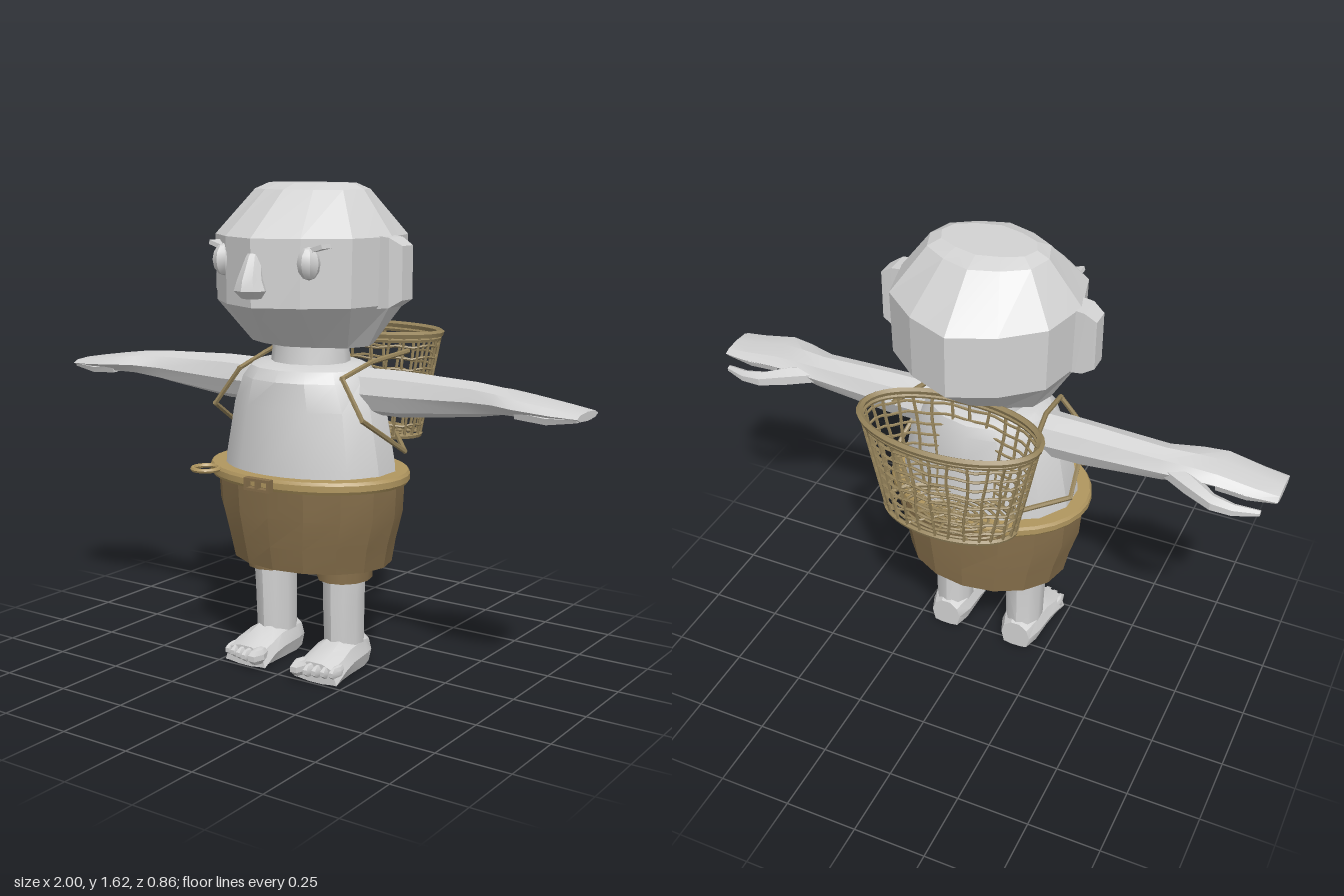
import * as THREE from 'three';
import { mergeGeometries, toCreasedNormals } from 'three/addons/utils/BufferGeometryUtils.js';

const V = (x, y, z) => new THREE.Vector3(x, y, z);

// Skin elliptical sections [t, cu, cv, ru, rv] along axis k (0 x, 1 y, 2 z); u and v are the next two axes
function loft(k, sections, n, { caps = true, shape = () => 1, turn = 0 } = {}) {
  const u = (k + 1) % 3, v = (k + 2) % 3, pos = [], idx = [];
  const put = (t, a, b) => { const p = []; p[k] = t; p[u] = a; p[v] = b; pos.push(...p); };
  sections.forEach(([t, cu, cv, ru, rv]) => {
    for (let j = 0; j < n; j++) {
      const a = (j / n) * Math.PI * 2 + turn, f = shape(a);
      put(t, cu + ru * f * Math.cos(a), cv + rv * f * Math.sin(a));
    }
  });
  const last = (sections.length - 1) * n;
  for (let i = 0; i < last; i += n) for (let j = 0; j < n; j++) {
    const a = i + j, b = i + (j + 1) % n;
    idx.push(a, b, b + n, a, b + n, a + n);
  }
  if (caps) {
    const s = sections[0], e = sections[sections.length - 1], c = pos.length / 3;
    put(s[0], s[1], s[2]);
    put(e[0], e[1], e[2]);
    for (let j = 0; j < n; j++) {
      const m = (j + 1) % n;
      idx.push(c, m, j, c + 1, last + j, last + m);
    }
  }
  const g = new THREE.BufferGeometry();
  g.setAttribute('position', new THREE.Float32BufferAttribute(pos, 3));
  g.setIndex(idx);
  return g;
}

// Flip a geometry across x and restore its winding
function mirrored(geo) {
  const g = geo.index ? geo.toNonIndexed() : geo.clone();
  const p = g.attributes.position, a = V(), b = V();
  for (let i = 0; i < p.count; i++) p.setX(i, -p.getX(i));
  for (let i = 0; i < p.count; i += 3) {
    a.fromBufferAttribute(p, i + 1);
    b.fromBufferAttribute(p, i + 2);
    p.setXYZ(i + 1, b.x, b.y, b.z);
    p.setXYZ(i + 2, a.x, a.y, a.z);
  }
  return g;
}

function rod(a, b, r) {
  const d = b.clone().sub(a);
  const g = new THREE.CylinderGeometry(r, r, d.length() + r, 6);
  g.applyQuaternion(new THREE.Quaternion().setFromUnitVectors(V(0, 1, 0), d.normalize()));
  return g.translate((a.x + b.x) / 2, (a.y + b.y) / 2, (a.z + b.z) / 2);
}

export function createModel() {
  const root = new THREE.Group();
  const paint = (name, color, side = THREE.FrontSide) => {
    const m = new THREE.MeshStandardMaterial({ color, side });
    m.name = name;
    return m;
  };
  const skin = paint('pale grey skin', 0xd2d2d2);
  const cloth = paint('brown cloth', 0x866f4b, THREE.DoubleSide);
  const leather = paint('tan belt', 0xb0965f);
  const cane = paint('woven cane', 0x94825a);

  const add = (name, geo, mat, crease = 0.1) => {
    const g = geo.index ? geo.toNonIndexed() : geo;
    const mesh = new THREE.Mesh(toCreasedNormals(g, crease), mat);
    mesh.name = name;
    root.add(mesh);
  };
  const pair = (name, geo, mat, crease) => {
    add('left' + name, geo, mat, crease);
    add('right' + name, mirrored(geo), mat, crease);
  };

  // Head: faceted, with the diagonal corners slightly flattened
  const flatten = a => Math.abs(Math.abs(Math.cos(a)) - 0.866) < 0.01 ? 0.94 : 1;
  add('head', loft(1, [[1.1, 0.045, 0, 0.155, 0.22], [1.24, 0.05, 0, 0.33, 0.305], [1.455, 0.05, 0, 0.33, 0.31],
    [1.6, 0.045, 0, 0.16, 0.2], [1.62, 0.045, 0, 0.1, 0.16]], 12, { shape: flatten }), skin);

  // Face
  add('nose', loft(1, [[1.27, 0.375, 0, 0.03, 0.035], [1.295, 0.38, 0, 0.05, 0.055], [1.33, 0.38, 0, 0.042, 0.042],
    [1.4, 0.36, 0, 0.028, 0.024], [1.42, 0.355, 0, 0.015, 0.015]], 8), skin, 0.5);
  pair('Eye', new THREE.SphereGeometry(1, 8, 6).scale(0.036, 0.052, 0.042).translate(0.165, 1.38, 0.3), skin, 0.5);
  pair('Eyelid', new THREE.BoxGeometry(0.06, 0.014, 0.05).rotateZ(0.3).translate(0.19, 1.425, 0.285), skin);
  pair('Ear', loft(0, [[0.27, 1.345, 0.06, 0.165, 0.06], [0.33, 1.345, 0.06, 0.155, 0.058], [0.37, 1.345, 0.055, 0.12, 0.045]],
    4, { turn: Math.PI / 4 }), skin);

  // Neck and torso
  add('neck', loft(1, [[1.0, 0.055, 0, 0.13, 0.14], [1.13, 0.055, 0, 0.115, 0.125]], 12), skin, 0.7);
  add('torso', loft(1, [[0.6, 0.06, 0, 0.23, 0.32], [0.72, 0.06, 0, 0.228, 0.31], [0.9, 0.06, 0, 0.208, 0.275],
    [0.99, 0.06, 0, 0.2, 0.235], [1.025, 0.055, 0, 0.18, 0.21], [1.04, 0.05, 0, 0.14, 0.18]], 14), skin, 0.5);

  // Arms run into flat mitten hands with a rear thumb
  pair('Arm', loft(0, [[0.16, 0.955, 0.045, 0.075, 0.08], [0.35, 0.955, 0.042, 0.076, 0.072], [0.62, 0.965, 0.042, 0.055, 0.066],
    [0.72, 0.972, 0.06, 0.042, 0.085], [0.8, 0.97, 0.075, 0.034, 0.095], [0.92, 0.96, 0.07, 0.025, 0.085],
    [1, 0.957, 0.07, 0.014, 0.075]], 8), skin, 0.4);
  pair('Thumb', loft(0, [[0.62, 0.96, 0.03, 0.03, 0.04], [0.72, 0.955, -0.02, 0.032, 0.045], [0.81, 0.945, -0.068, 0.026, 0.03],
    [0.88, 0.94, -0.072, 0.02, 0.022], [0.96, 0.935, -0.048, 0.01, 0.012]], 6), skin, 0.4);
  // Finger ridges under each hand
  for (let i = 0; i < 4; i++) pair('Finger' + i, loft(0, [[0.8, 0.955, 0.01 + i * 0.042, 0.02, 0.019],
    [0.9, 0.945, 0.012 + i * 0.04, 0.018, 0.018], [0.995, 0.953, 0.014 + i * 0.037, 0.01, 0.015]], 5), skin, 0.4);

  // Legs, feet and toes
  pair('Leg', loft(1, [[0.03, 0.055, 0.14, 0.075, 0.068], [0.1, 0.06, 0.14, 0.078, 0.066],
    [0.25, 0.063, 0.14, 0.08, 0.07], [0.45, 0.065, 0.145, 0.085, 0.075]], 10), skin, 0.7);
  const foot = loft(2, [[-0.025, 0.14, 0.05, 0.055, 0.06], [0.03, 0.14, 0.055, 0.075, 0.075], [0.12, 0.142, 0.05, 0.08, 0.07],
    [0.18, 0.145, 0.04, 0.086, 0.055], [0.24, 0.145, 0.03, 0.084, 0.04]], 10);
  const fp = foot.attributes.position;
  for (let i = 0; i < fp.count; i++) if (fp.getY(i) < 0.03) fp.setY(i, Math.min(fp.getY(i), 0.005));
  for (let i = 0; i < fp.count; i++) fp.setY(i, Math.max(0, fp.getY(i)));
  pair('Foot', foot, skin, 0.5);
  for (let i = 0; i < 5; i++) {
    const r = i ? 0.016 : 0.026, x = i ? 0.098 + i * 0.029 : 0.087;
    pair('Toe' + i, new THREE.SphereGeometry(1, 6, 5).scale(r, i ? 0.024 : 0.03, 0.05)
      .translate(x, i ? 0.042 : 0.045, 0.242 - i * 0.008), skin, 0.5);
  }

  // Shorts, open below, with leg cuffs inside
  add('shorts', loft(1, [[0.37, 0.05, 0, 0.225, 0.288], [0.45, 0.055, 0, 0.235, 0.305], [0.55, 0.06, 0, 0.242, 0.335],
    [0.66, 0.062, 0, 0.245, 0.342]], 16, { caps: false }), cloth, 0.3);
  pair('Cuff', loft(1, [[0.32, 0.065, 0.145, 0.1, 0.09], [0.58, 0.065, 0.148, 0.105, 0.095]], 12, { caps: false }), cloth, 0.6);

  // Belt, buckle and hanging ring
  const band = [[0.84, -0.02], [0.98, -0.02], [1, -0.01], [1, 0.01], [0.98, 0.02], [0.84, 0.02], [0.84, -0.02]];
  add('belt', new THREE.LatheGeometry(band.map(p => new THREE.Vector2(...p)), 32).scale(0.36, 1, 0.275)
    .translate(0, 0.671, 0.066), leather, 0.4);
  const buckle = [];
  for (const s of [-1, 1]) {
    buckle.push(new THREE.BoxGeometry(0.1, 0.009, 0.024).translate(0, 0.671 + s * 0.016, 0.35));
    buckle.push(new THREE.BoxGeometry(0.01, 0.04, 0.024).translate(s * 0.045, 0.671, 0.35));
  }
  buckle.push(new THREE.BoxGeometry(0.01, 0.03, 0.024).translate(0, 0.671, 0.35));
  add('buckle', mergeGeometries(buckle), cloth);
  add('beltRing', new THREE.TorusGeometry(0.045, 0.008, 6, 20).rotateX(Math.PI / 2).translate(-0.25, 0.685, 0.305), leather, 0.8);

  // Woven basket: hoops, ribs and a base of concentric rings
  const rim = (a, f, y) => V((0.23 + 0.075 * f) * Math.cos(a), y, -0.255 + (0.125 + 0.036 * f) * Math.sin(a));
  const hoop = (pointAt, r) => new THREE.TubeGeometry(new THREE.CatmullRomCurve3(
    Array.from({ length: 24 }, (_, i) => pointAt((i / 24) * Math.PI * 2, i)), true), 48, r, 5, true);
  const weave = [], bottom = 0.76, top = 1.115;
  const height = f => bottom + (top - bottom) * f;
  for (let i = 1; i < 9; i++) {
    const f = i / 9;
    weave.push(hoop((a, j) => rim(a, f, height(f) + 0.004 * (j % 2 ? 1 : -1)), 0.0048));
  }
  for (let i = 0; i < 28; i++) {
    const a = (i / 28) * Math.PI * 2;
    const pts = [0, 0.25, 0.5, 0.75, 1].map((f, j) => rim(a + 0.02 * Math.sin(i * 2.3 + j * 2), f, height(f)));
    weave.push(new THREE.TubeGeometry(new THREE.CatmullRomCurve3(pts), 10, 0.0055, 5));
  }
  for (let i = 1; i < 7; i++) {
    const s = i / 7;
    weave.push(hoop(a => V(0.23 * s * Math.cos(a), bottom, -0.255 + 0.125 * s * Math.sin(a)), 0.005));
  }
  for (let i = 0; i < 6; i++) {
    const a = (i / 6) * Math.PI;
    weave.push(rod(rim(a, 0, bottom), rim(a + Math.PI, 0, bottom), 0.005));
  }
  add('basketWeave', mergeGeometries(weave), cane, 0.9);
  add('basketRim', mergeGeometries([hoop(a => rim(a, 1, top), 0.012), hoop(a => rim(a, 0.93, top - 0.018), 0.008),
    hoop(a => rim(a, 0, bottom), 0.009)]), cane, 0.9);

  // Shoulder straps
  const path = [V(0.25, 1.065, -0.15), V(0.215, 1.045, 0.02), V(0.205, 1.01, 0.175), V(0.295, 0.885, 0.195),
    V(0.325, 0.757, -0.015), V(0.2, 0.772, -0.17)];
  pair('Strap', mergeGeometries(path.slice(1).map((p, i) => rod(path[i], p, 0.0085))), cane, 0.9);

  return root;
}
